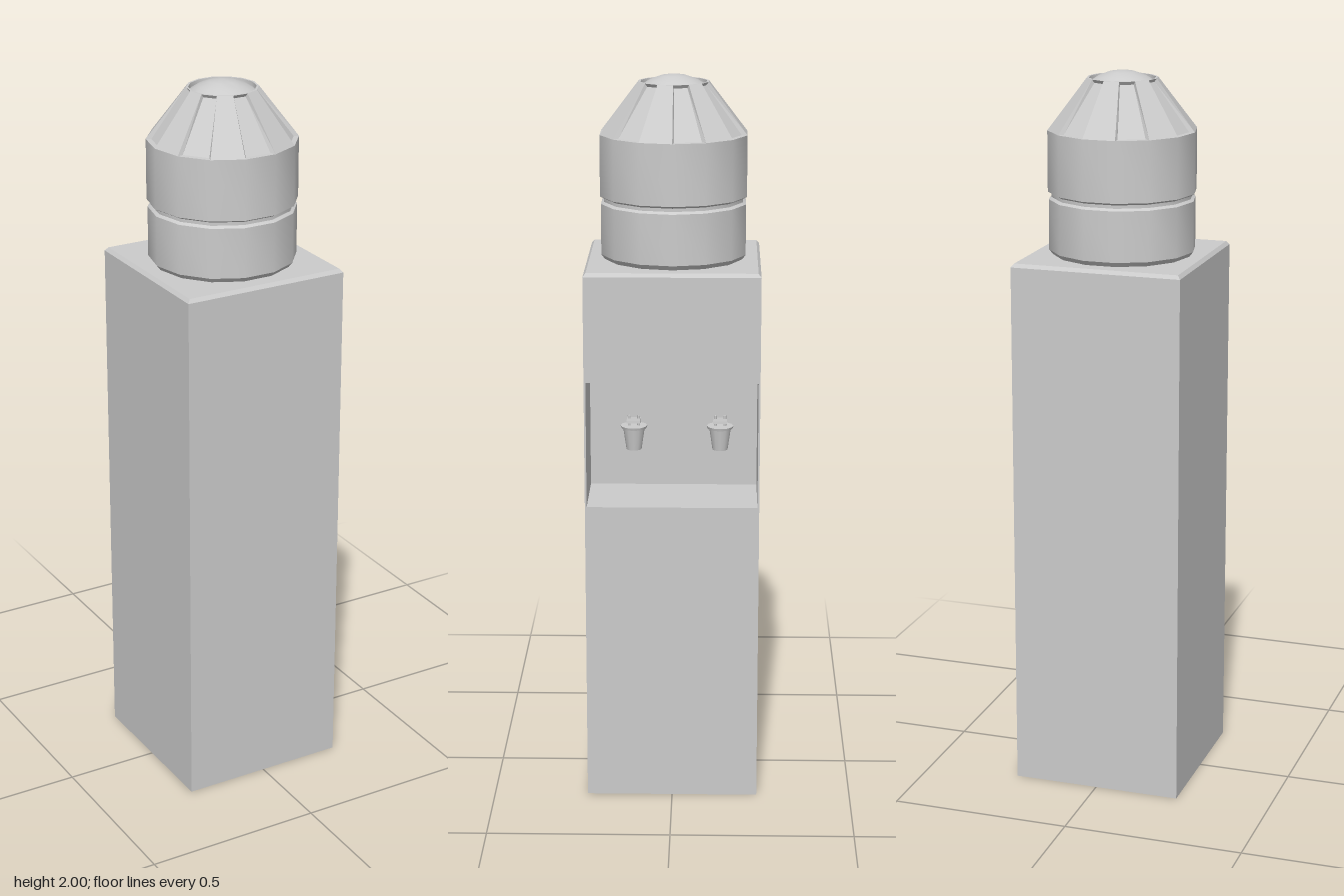
import * as THREE from 'three';
import { toCreasedNormals } from 'three/addons/utils/BufferGeometryUtils.js';

const grey = new THREE.MeshStandardMaterial({ color: 0xcccccc });
const SIDES = 14;
const STEP = (Math.PI * 2) / SIDES;

function part(parent, name, geometry, x = 0, y = 0, z = 0) {
  const mesh = new THREE.Mesh(geometry, grey);
  mesh.name = name;
  mesh.position.set(x, y, z);
  parent.add(mesh);
  return mesh;
}

// Turned part with 14 sides, a corner on the x axis and sharp profile steps
function turned(profile) {
  const points = profile.map(([r, y]) => new THREE.Vector2(r, y));
  return toCreasedNormals(new THREE.LatheGeometry(points, SIDES, STEP / 2), 0.5);
}

// Faceted shoulder: every second panel is a sunken tray
function shoulderGeometry() {
  const positions = [];
  const quad = (a, b, c, d) => [a, b, c, a, c, d].forEach((p) => positions.push(p.x, p.y, p.z));
  const at = (r, y, a) => new THREE.Vector3(r * Math.sin(a), y, r * Math.cos(a));
  for (let i = 0; i < SIDES; i++) {
    const a0 = (i - 0.5) * STEP, a1 = (i + 0.5) * STEP;
    const outer = [at(0.2045, 1.84, a0), at(0.2045, 1.84, a1), at(0.097, 1.98, a1), at(0.097, 1.98, a0)];
    if (i % 2) {
      quad(...outer);
      continue;
    }
    const normal = outer[1].clone().sub(outer[0]).cross(outer[3].clone().sub(outer[0])).normalize();
    const inner = [[0.08, 0.05], [0.92, 0.05], [0.92, 0.98], [0.08, 0.98]].map(([u, v]) => {
      const low = outer[0].clone().lerp(outer[1], u);
      const high = outer[3].clone().lerp(outer[2], u);
      return low.lerp(high, v).addScaledVector(normal, -0.01);
    });
    quad(...inner);
    for (let k = 0; k < 4; k++) {
      const n = (k + 1) % 4;
      quad(outer[k], outer[n], inner[n], inner[k]);
    }
  }
  const geometry = new THREE.BufferGeometry();
  geometry.setAttribute('position', new THREE.Float32BufferAttribute(positions, 3));
  geometry.computeVertexNormals();
  return geometry;
}

function createTap() {
  const tap = new THREE.Group();
  tap.name = 'tap';
  part(tap, 'spout', new THREE.CylinderGeometry(0.03, 0.021, 0.062, 12), 0, 1.008, 0);
  part(tap, 'collar', new THREE.CylinderGeometry(0.037, 0.035, 0.007, 12), 0, 1.041, 0);
  const pipe = part(tap, 'supplyPipe', new THREE.CylinderGeometry(0.011, 0.011, 0.08, 10), -0.045, 1.02, 0);
  pipe.rotation.z = Math.PI / 2;
  for (const z of [-0.013, 0.013]) {
    part(tap, 'leverPost', new THREE.CylinderGeometry(0.004, 0.004, 0.03, 8), 0, 1.058, z);
  }
  const lever = part(tap, 'lever', new THREE.BoxGeometry(0.075, 0.006, 0.038), 0.012, 1.062, 0);
  lever.rotation.z = 0.12;
  return tap;
}

export function createModel() {
  const model = new THREE.Group();
  model.name = 'waterCooler';
  const half = 0.238, bodyTop = 1.49, nicheBack = 0.02;

  // Cabinet: solid rear half, and a side half with the dispensing niche cut through
  const cabinet = new THREE.Group();
  cabinet.name = 'cabinet';
  model.add(cabinet);
  part(cabinet, 'cabinetRear', new THREE.BoxGeometry(half + nicheBack, bodyTop, half * 2),
    (nicheBack - half) / 2, bodyTop / 2, 0);

  const face = new THREE.Shape();
  face.moveTo(-half, 0).lineTo(half, 0).lineTo(half, bodyTop).lineTo(-half, bodyTop).closePath();
  const niche = new THREE.Path();
  niche.moveTo(-0.233, 0.85).lineTo(-0.233, 1.2).lineTo(0.233, 1.2).lineTo(0.233, 0.85).closePath();
  face.holes.push(niche);
  const front = part(cabinet, 'cabinetNicheSide',
    new THREE.ExtrudeGeometry(face, { depth: half - nicheBack, bevelEnabled: false }), nicheBack, 0, 0);
  front.rotation.y = Math.PI / 2;

  // Bevelled lid
  const lid = new THREE.CylinderGeometry((half - 0.008) * Math.SQRT2, half * Math.SQRT2, 0.01, 4);
  lid.rotateY(Math.PI / 4);
  part(cabinet, 'cabinetLid', toCreasedNormals(lid, 0.3), 0, bodyTop + 0.005, 0);

  // Two taps on the niche wall
  for (const z of [0.108, -0.13]) {
    const tap = createTap();
    tap.position.set(0.1, 0, z);
    model.add(tap);
  }

  // Bottle with a groove round the middle, panelled shoulder and domed end
  const bottle = new THREE.Group();
  bottle.name = 'bottle';
  model.add(bottle);
  part(bottle, 'bottleWall', turned([
    [0, 1.5], [0.192, 1.5], [0.202, 1.513], [0.202, 1.652], [0.194, 1.658], [0.194, 1.667],
    [0.2045, 1.673], [0.2045, 1.84],
  ]));
  part(bottle, 'bottleShoulder', shoulderGeometry());
  part(bottle, 'bottleDome', turned([
    [0.097, 1.98], [0.091, 1.98], [0.09, 1.968], [0.065, 1.984], [0.035, 1.995], [0, 2],
  ]));
  return model;
}
